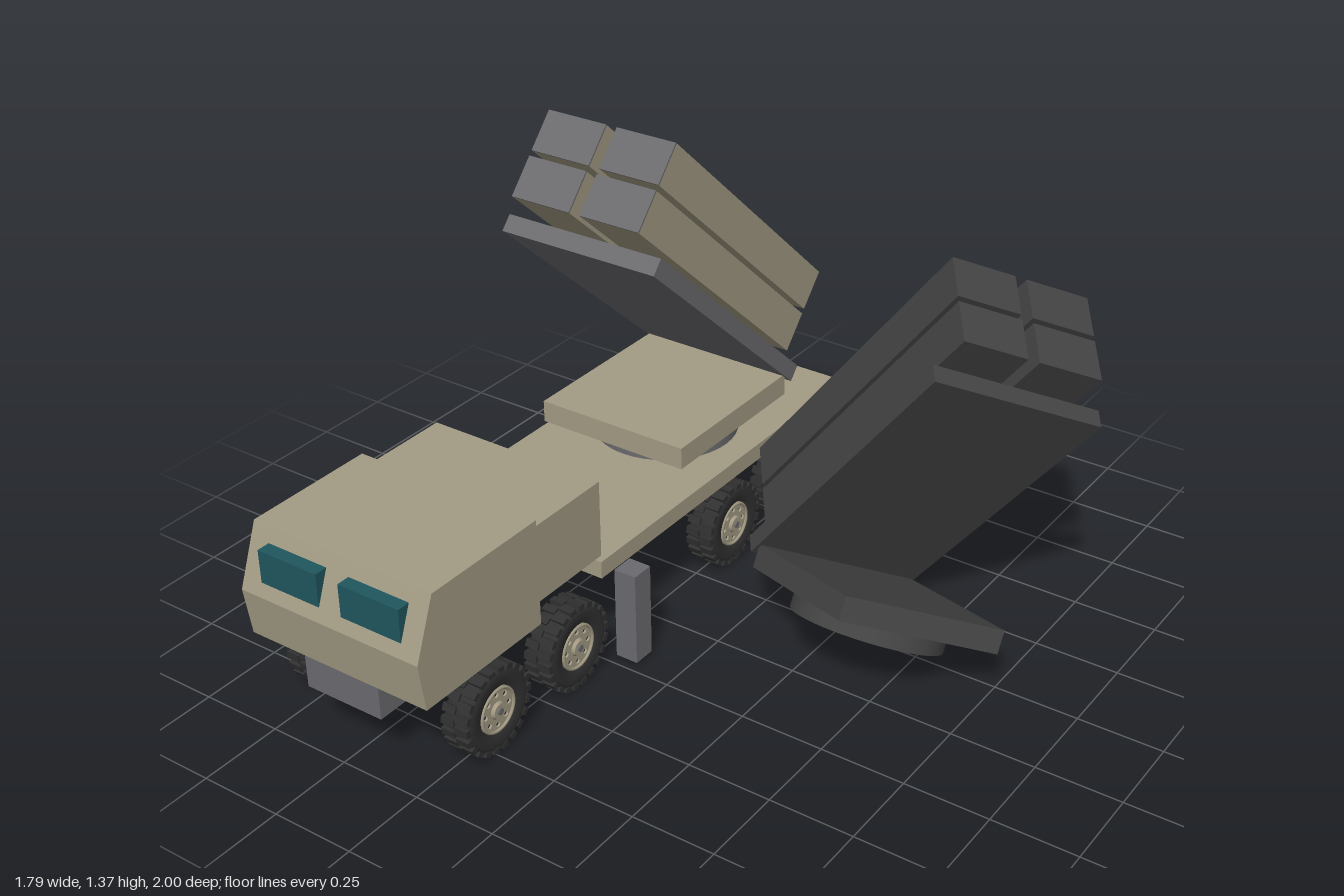
import * as THREE from 'three';

const mat = (name, color) => {
  const m = new THREE.MeshStandardMaterial({ color });
  m.name = name;
  return m;
};
const TAN = mat('tan paint', 0xa39b84);
const GREY = mat('steel grey', 0x6b6b6f);
const DARK = mat('charcoal', 0x444444);
const TYRE = mat('tyre rubber', 0x303030);
const GLASS = mat('teal glass', 0x20565f);

const TRUCK_X = -0.507;

function add(parent, name, geometry, material, x = 0, y = 0, z = 0) {
  const mesh = new THREE.Mesh(geometry, material);
  mesh.name = name;
  mesh.position.set(x, y, z);
  parent.add(mesh);
  return mesh;
}

// Box given by its limits on each axis
function box(parent, name, material, [x0, x1], [y0, y1], [z0, z1]) {
  return add(parent, name, new THREE.BoxGeometry(x1 - x0, y1 - y0, z1 - z0), material,
    (x0 + x1) / 2, (y0 + y1) / 2, (z0 + z1) / 2);
}

// Wheel with its axis on x and the hub facing +x
function createWheel() {
  const wheel = new THREE.Group();
  wheel.name = 'wheel';
  const profile = [[0, -0.04], [0.07, -0.04], [0.108, -0.045], [0.12, -0.038], [0.124, 0],
    [0.12, 0.038], [0.108, 0.045], [0.074, 0.042], [0.068, 0.03], [0, 0.03]]
    .map(([r, a]) => new THREE.Vector2(r, a));
  const tyre = add(wheel, 'tyre', new THREE.LatheGeometry(profile, 32), TYRE);
  tyre.rotation.z = -Math.PI / 2;

  // Tread blocks in two staggered rows
  const block = new THREE.BoxGeometry(0.042, 0.016, 0.022);
  const count = 22;
  for (const side of [-1, 1]) {
    for (let i = 0; i < count; i++) {
      const a = ((i + (side > 0 ? 0.5 : 0)) / count) * Math.PI * 2;
      const lug = add(wheel, 'treadBlock', block, TYRE,
        side * 0.0225, Math.cos(a) * 0.123, Math.sin(a) * 0.123);
      lug.rotation.x = a;
    }
  }

  // Rim disc with a ring of holes, raised lip, bolts and axle cap
  const disc = new THREE.Shape().absarc(0, 0, 0.068, 0, Math.PI * 2);
  for (let i = 0; i < 8; i++) {
    const a = (i / 8) * Math.PI * 2;
    disc.holes.push(new THREE.Path().absarc(Math.cos(a) * 0.047, Math.sin(a) * 0.047, 0.008, 0, Math.PI * 2, true));
  }
  const rimGeo = new THREE.ExtrudeGeometry(disc, { depth: 0.006, bevelEnabled: false, curveSegments: 16 });
  add(wheel, 'rim', rimGeo, TAN, 0.031).rotation.y = Math.PI / 2;
  add(wheel, 'rimLip', new THREE.TorusGeometry(0.064, 0.005, 6, 28), TAN, 0.039).rotation.y = Math.PI / 2;
  add(wheel, 'hub', new THREE.CylinderGeometry(0.022, 0.027, 0.01, 16), TAN, 0.041).rotation.z = -Math.PI / 2;
  add(wheel, 'axleCap', new THREE.CylinderGeometry(0.01, 0.01, 0.008, 12), GREY, 0.047).rotation.z = -Math.PI / 2;
  return wheel;
}

// Launcher on a turntable; origin at the underside of its platform
function createLauncher(name, paint, metal) {
  const launcher = new THREE.Group();
  launcher.name = name;
  add(launcher, 'turntable', new THREE.CylinderGeometry(0.22, 0.22, 0.056, 40), metal, 0, -0.028, 0);
  box(launcher, 'platform', paint, [-0.25, 0.25], [0, 0.068], [-0.273, 0.273]);

  // Tilted frame: z runs along the tubes, y away from the backing panel
  const tilt = new THREE.Group();
  tilt.name = 'tiltFrame';
  tilt.position.set(0, -0.39, 0.4625);
  tilt.rotation.x = -THREE.MathUtils.degToRad(42);
  launcher.add(tilt);
  box(tilt, 'backingPanel', metal, [-0.26, 0.26], [0.824, 0.876], [-0.275, 0.665]);
  for (const x of [-0.1165, 0.1165]) {
    for (const y of [0.97, 1.11]) {
      const across = [x - 0.0985, x + 0.0985];
      const up = [y - 0.062, y + 0.062];
      box(tilt, 'launchTube', paint, across, up, [-0.26, 0.742]);
      box(tilt, 'tubeCap', metal, across, up, [0.742, 0.747]);
    }
  }
  return launcher;
}

function createTruck() {
  const truck = new THREE.Group();
  truck.name = 'truck';
  truck.position.x = TRUCK_X;
  box(truck, 'chassis', GREY, [-0.127, 0.127], [0.175, 0.281], [-0.998, 0.97]);
  box(truck, 'deck', TAN, [-0.3, 0.3], [0.281, 0.334], [-1, 0.26]);
  box(truck, 'engineHousing', TAN, [-0.285, 0.285], [0.34, 0.575], [0.24, 0.508]);

  // Cab from its side outline, extruded across the width
  const outline = new THREE.Shape([[0.525, 0.284], [0.98, 0.284], [1, 0.43], [0.93, 0.607], [0.525, 0.607]]
    .map(([z, y]) => new THREE.Vector2(-z, y)).reverse());
  const cabGeo = new THREE.ExtrudeGeometry(outline, { depth: 0.6, bevelEnabled: false });
  cabGeo.translate(0, 0, -0.3).rotateY(Math.PI / 2);
  add(truck, 'cab', cabGeo, TAN);

  for (const side of [-1, 1]) {
    // Upright windscreen blocks set into the sloping front
    const window = box(truck, 'windscreen', GLASS, [-0.1, 0.1], [0.467, 0.566], [0.92, 0.986]);
    window.position.x = side * 0.1375;
    for (const z of [0.19, -0.92]) {
      const leg = box(truck, 'outrigger', GREY, [-0.035, 0.035], [0.012, 0.297], [z - 0.035, z + 0.035]);
      leg.position.x = side * 0.352;
    }
    for (const z of [0.73, 0.39, -0.37, -0.71]) {
      const wheel = createWheel();
      wheel.position.set(side * 0.273, 0.134, z);
      if (side < 0) wheel.rotation.y = Math.PI;
      truck.add(wheel);
    }
  }

  const launcher = createLauncher('mountedLauncher', TAN, GREY);
  launcher.position.set(0, 0.39, -0.4625);
  truck.add(launcher);
  return truck;
}

export function createModel() {
  const model = new THREE.Group();
  model.name = 'launcherTruck';
  model.add(createTruck());

  // Separate dark launcher lying tilted beside the truck
  const spare = createLauncher('detachedLauncher', DARK, DARK);
  const zAxis = new THREE.Vector3(0.818, 0.276, 0.506).normalize();
  const yAxis = new THREE.Vector3(0.007, 0.874, -0.489);
  const xAxis = yAxis.clone().cross(zAxis).normalize();
  yAxis.crossVectors(zAxis, xAxis);
  spare.quaternion.setFromRotationMatrix(new THREE.Matrix4().makeBasis(xAxis, yAxis, zAxis));
  spare.position.set(0.411, 0.185, -0.15);
  model.add(spare);
  return model;
}
